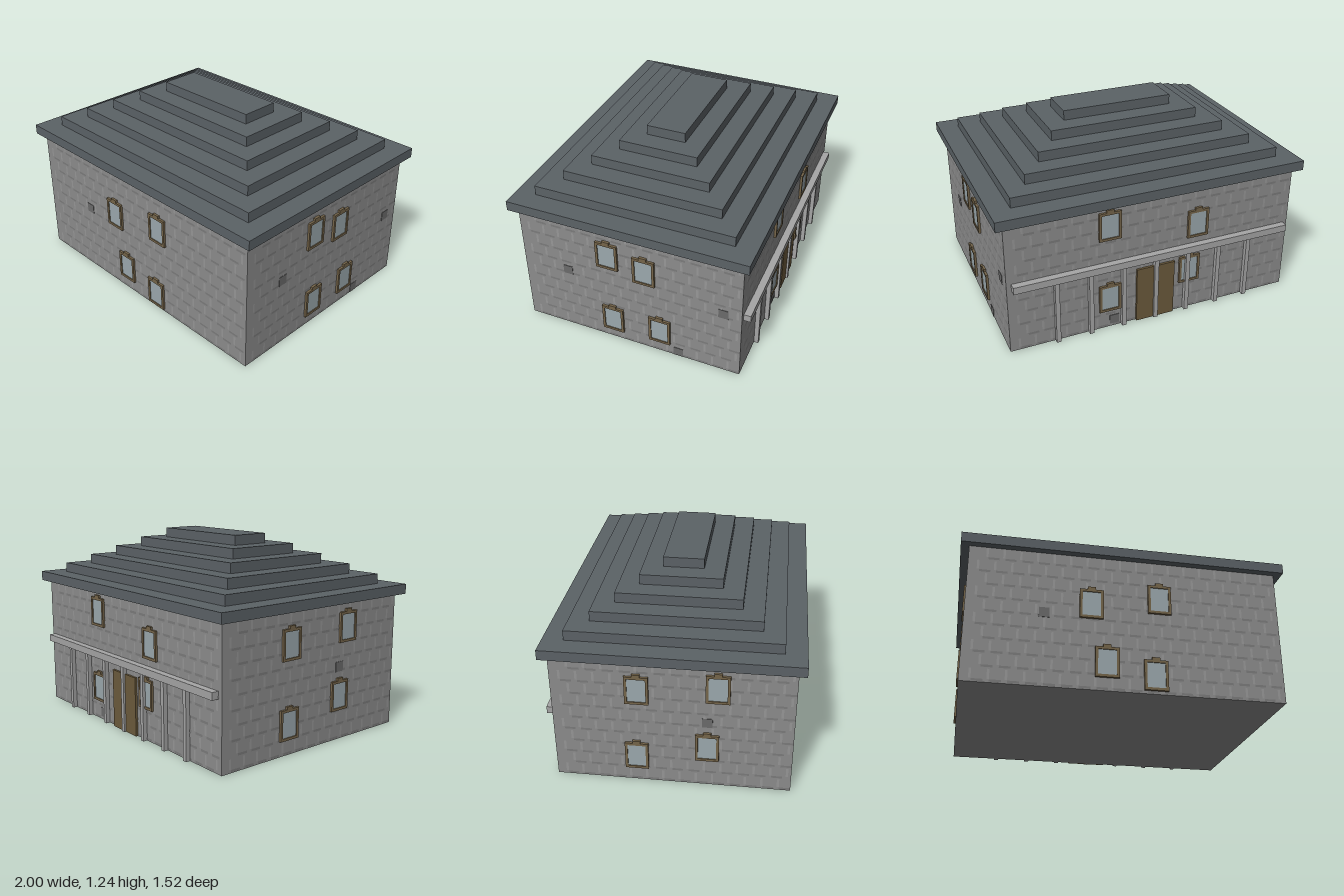
import * as THREE from 'three';
import { mergeGeometries } from 'three/addons/utils/BufferGeometryUtils.js';

const mat = (color) => new THREE.MeshStandardMaterial({ color });
const MATS = {
  wall: mat(0x8c8c8c), light: mat(0x979797), dark: mat(0x7b7b7b), patch: mat(0x6b6b6b),
  roof: mat(0x5b6266), frame: mat(0x75654a), glass: mat(0x9ba8ad),
  door: mat(0x6b5a3c), post: mat(0xa5a5a5),
};
const HALF_X = 0.95, HALF_Z = 0.718, WALL_H = 0.862;

function box(parent, name, material, w, h, d, x, y, z) {
  const mesh = new THREE.Mesh(new THREE.BoxGeometry(w, h, d), material);
  mesh.name = name;
  mesh.position.set(x, y, z);
  parent.add(mesh);
  return mesh;
}

// Framed window with a pane and a small keystone above
function addWindow(wall, u, y) {
  const g = new THREE.Group();
  g.name = 'window';
  g.position.set(u, y, 0);
  const w = 0.142, h = 0.188, t = 0.016, d = 0.015;
  for (const s of [-1, 1]) {
    box(g, 'windowJamb', MATS.frame, t, h, d, s * (w - t) / 2, 0, d / 2);
    box(g, 'windowRail', MATS.frame, w - 2 * t, t, d, 0, s * (h - t) / 2, d / 2);
  }
  box(g, 'windowPane', MATS.glass, w - 2 * t, h - 2 * t, 0.009, 0, 0, 0.0045);
  box(g, 'keystone', MATS.frame, 0.047, 0.017, d, 0, h / 2 + 0.0085, d / 2);
  wall.add(g);
}

// Stone courses: darker bed joints and lighter upright joints, almost flush
function addMasonry(wall, length) {
  const light = [], dark = [], rows = 10, step = WALL_H / rows;
  const tile = (list, u, y, w, h) => {
    if (Math.abs(u) + w / 2 < length / 2)
      list.push(new THREE.PlaneGeometry(w, h).translate(u, y, 0.001));
  };
  for (let r = 0; r < rows; r++) {
    const y = (r + 0.5) * step, shift = (r % 2) * 0.05;
    for (let u = -length / 2 + 0.06 + shift; u < length / 2; u += 0.1) {
      tile(light, u, y + 0.008, 0.014, step * 0.7);
      tile(dark, u + 0.04, y - step / 2 + 0.012, 0.066, 0.014);
    }
  }
  for (const [name, list] of [['light', light], ['dark', dark]]) {
    const mesh = new THREE.Mesh(mergeGeometries(list), MATS[name]);
    mesh.name = name + 'StoneJoints';
    wall.add(mesh);
  }
}

// u runs to the right when facing each wall from outside
const WALLS = [
  { name: 'frontWall', turn: 0, dist: HALF_Z, length: 2 * HALF_X,
    windows: [[-0.214, 0.541], [0.199, 0.607], [-0.12, 0.174], [0.167, 0.114]],
    patches: [[-0.492, 0.463]] },
  { name: 'rightWall', turn: Math.PI / 2, dist: HALF_X, length: 2 * HALF_Z,
    windows: [[-0.135, 0.669], [0.103, 0.622], [-0.118, 0.162], [0.197, 0.176]],
    patches: [[-0.413, 0.466], [0.605, 0.466], [0.319, 0.033]] },
  { name: 'backWall', turn: Math.PI, dist: HALF_Z, length: 2 * HALF_X,
    windows: [[-0.305, 0.729], [0.283, 0.619], [-0.305, 0.22], [0.235, 0.3]],
    patches: [[-0.275, 0.05]] },
  { name: 'leftWall', turn: -Math.PI / 2, dist: HALF_X, length: 2 * HALF_Z,
    windows: [[-0.205, 0.667], [0.27, 0.71], [0.21, 0.285], [-0.215, 0.19]],
    patches: [[0.21, 0.465]] },
];

export function createModel() {
  const model = new THREE.Group();
  model.name = 'house';
  box(model, 'walls', MATS.wall, 2 * HALF_X, WALL_H, 2 * HALF_Z, 0, WALL_H / 2, 0);

  for (const def of WALLS) {
    const wall = new THREE.Group();
    wall.name = def.name;
    wall.rotation.y = def.turn;
    wall.position.set(Math.sin(def.turn) * def.dist, 0, Math.cos(def.turn) * def.dist);
    addMasonry(wall, def.length);
    for (const [u, y] of def.windows) addWindow(wall, u, y);
    for (const [u, y] of def.patches) box(wall, 'stonePatch', MATS.patch, 0.062, 0.062, 0.004, u, y, 0.001);
    model.add(wall);
  }

  // Stepped hip roof
  const tiers = 6, tierH = 0.063;
  for (let i = 0; i < tiers; i++) {
    box(model, 'roofTier', MATS.roof, 2 - i * 0.2545, tierH, 1.524 - i * 0.2545,
      0, WALL_H + tierH * (i + 0.5), 0);
  }

  // Double door at the back
  for (const s of [-1, 1]) {
    box(model, 'doorLeaf', MATS.door, 0.128, 0.38, 0.016, s * 0.0645, 0.19, -HALF_Z - 0.007);
  }

  // Porch posts and beam
  for (let i = -3; i <= 3; i++) {
    box(model, 'porchPost', MATS.post, 0.028, 0.432, 0.03, i * 0.217, 0.216, -HALF_Z - 0.013);
  }
  box(model, 'porchBeam', MATS.post, 1.84, 0.046, 0.048, 0, 0.455, -HALF_Z - 0.02);
  return model;
}
